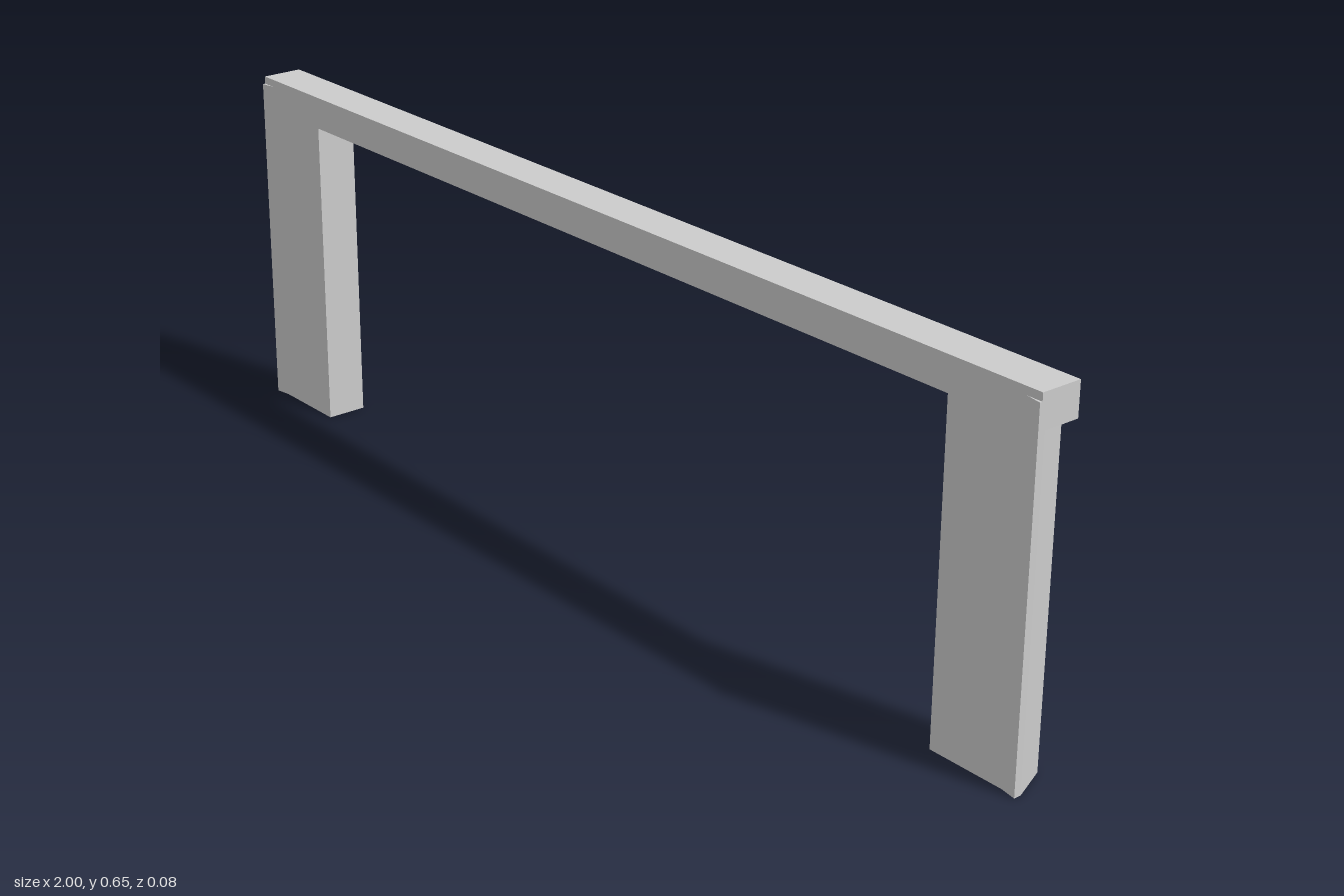
import * as THREE from 'three';

const BACK = -0.041, FRONT = 0.036, LIP = 0.041;
const SOFFIT = 0.587, TOP = 0.647, LIP_TOP = 0.633;

export function createModel() {
  const group = new THREE.Group();
  const material = new THREE.MeshStandardMaterial({ color: 0xcccccc, flatShading: true });

  const add = (name, geometry) => {
    const mesh = new THREE.Mesh(geometry, material);
    mesh.name = name;
    group.add(mesh);
    return mesh;
  };

  // Upright prism from a plan outline of [x, z] points, standing on the ground
  const prism = (plan, height, side) => {
    const shape = new THREE.Shape(plan.map(([x, z]) => new THREE.Vector2(side * x, -z)));
    return new THREE.ExtrudeGeometry(shape, { depth: height, bevelEnabled: false }).rotateX(-Math.PI / 2);
  };

  // Beam across the top
  const beam = add('lintel', new THREE.BoxGeometry(2, TOP - SOFFIT, FRONT - BACK));
  beam.position.set(0, (SOFFIT + TOP) / 2, (FRONT + BACK) / 2);

  for (const [label, side] of [['left', 1], ['right', -1]]) {
    // Post, its outer face splayed inwards towards the back
    add(label + 'Post', prism(
      [[0.82, BACK], [0.97, BACK], [1, 0.027], [1, FRONT], [0.82, FRONT]], SOFFIT, side));
    // Thin flared lip on the outer front edge, lapping over the lintel
    add(label + 'EdgeLip', prism([[0.97, FRONT], [1, FRONT], [1, LIP]], LIP_TOP, side));
  }
  return group;
}
